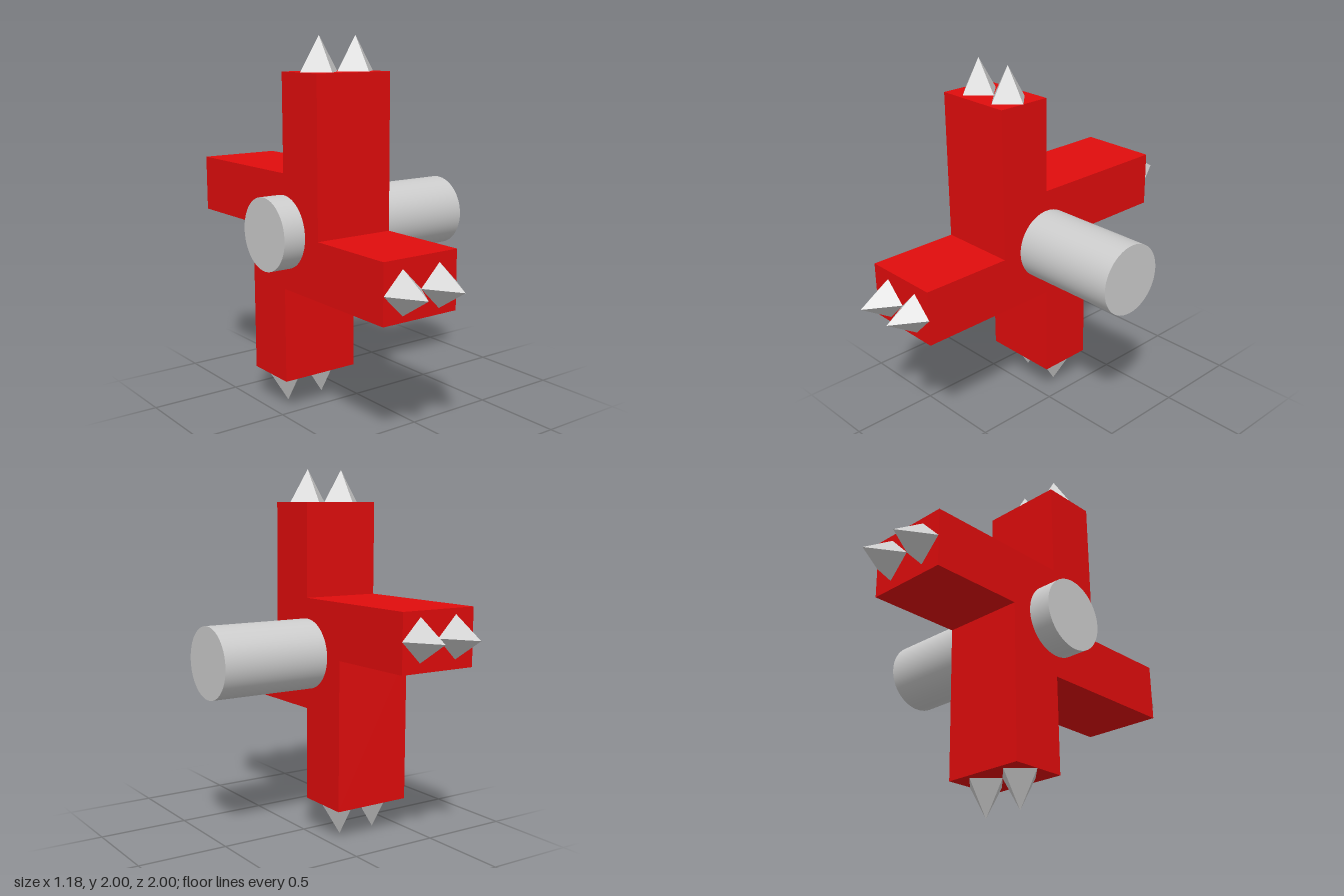
import * as THREE from 'three';

export function createModel() {
  const model = new THREE.Group();
  model.name = 'spikedRotor';
  const red = new THREE.MeshStandardMaterial({ color: 0xe00c0c, flatShading: true });
  const metal = new THREE.MeshStandardMaterial({ color: 0xcccccc });
  const spikeMetal = new THREE.MeshStandardMaterial({ color: 0xcccccc, flatShading: true });

  const reach = 0.82, thick = 0.306;
  const xMin = -0.472, width = 0.45;

  // Pinwheel body: one quarter of the outline, turned four times
  const quarter = [[0, thick], [0, reach], [-thick, reach], [-thick, 0]];
  const outline = [];
  for (let i = 0; i < 4; i++) {
    const a = i * Math.PI / 2;
    for (const [x, y] of quarter.slice(0, 3)) {
      outline.push(new THREE.Vector2(x, y).rotateAround(new THREE.Vector2(), a));
    }
  }
  const bodyGeometry = new THREE.ExtrudeGeometry(new THREE.Shape(outline), { depth: width, bevelEnabled: false });
  bodyGeometry.rotateY(Math.PI / 2); // shape x becomes -z, extrusion runs along +x
  const body = new THREE.Mesh(bodyGeometry, red);
  body.name = 'rotorBody';
  body.position.set(xMin, 1, 0);
  model.add(body);

  // Axle through the hub
  const axle = new THREE.Mesh(new THREE.CylinderGeometry(0.193, 0.193, 1.184, 64), metal);
  axle.name = 'axle';
  axle.rotation.z = Math.PI / 2;
  axle.position.set(-0.002, 1, 0);
  model.add(axle);

  // A pair of four-sided spikes on the end of each arm
  const spikeGeometry = new THREE.ConeGeometry(0.113, 0.18, 4);
  for (let i = 0; i < 4; i++) {
    const pair = new THREE.Group();
    pair.name = 'spikePair' + (i + 1);
    for (const x of [-0.357, -0.132]) {
      const spike = new THREE.Mesh(spikeGeometry, spikeMetal);
      spike.name = 'spike';
      spike.position.set(x, reach + 0.09, 0.162);
      pair.add(spike);
    }
    pair.position.y = 1;
    pair.rotation.x = i * Math.PI / 2;
    model.add(pair);
  }
  return model;
}
